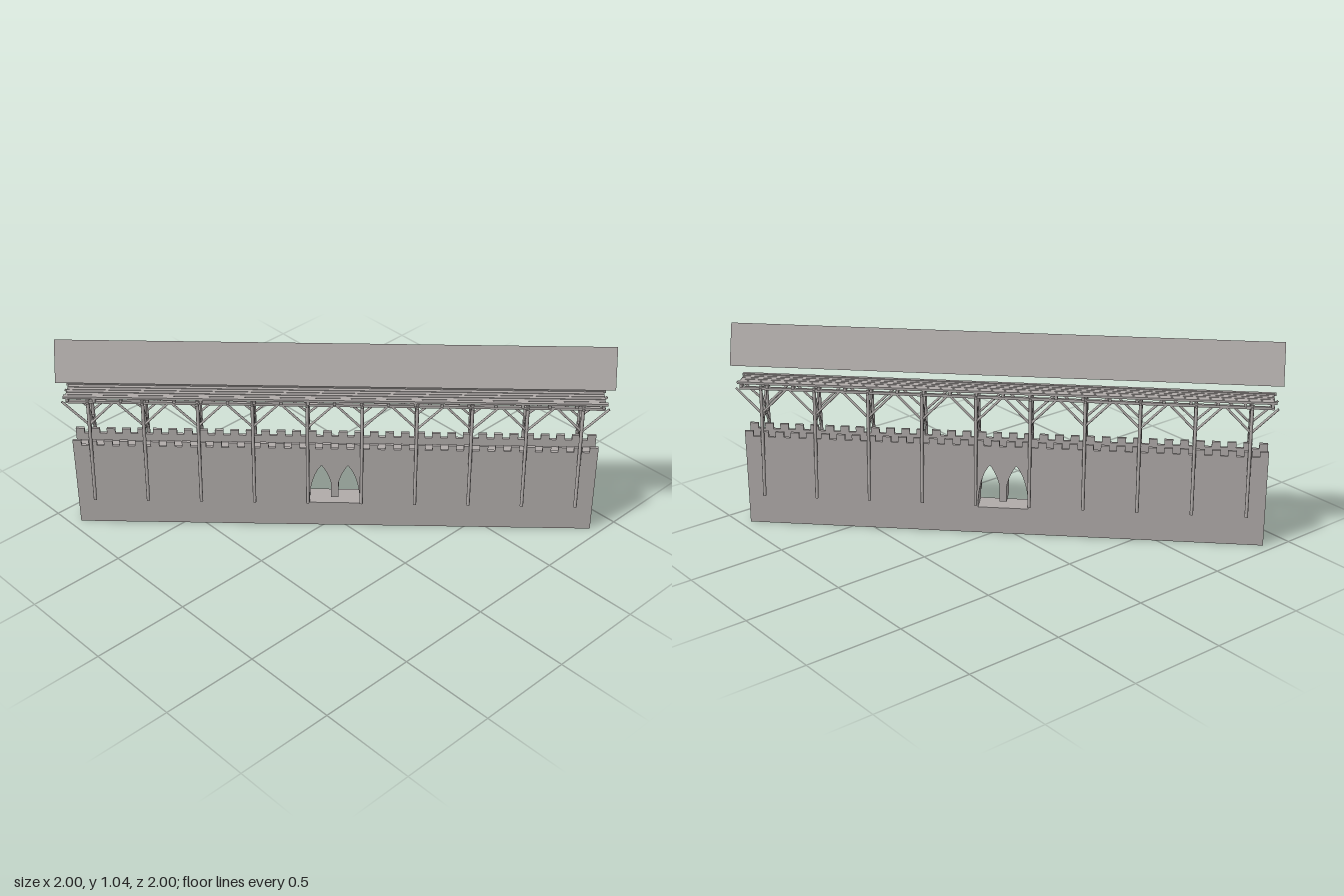
import * as THREE from 'three';

export function createModel() {
  const model = new THREE.Group();
  model.name = 'coveredWall';
  // Built along local x, then turned to lie on the diagonal
  const body = new THREE.Group();
  body.name = 'wallAndGallery';
  body.rotation.y = -Math.PI / 4;
  model.add(body);

  const grey = new THREE.MeshStandardMaterial({ color: 0xb0aba9 });
  grey.name = 'weatheredGrey';

  const add = (name, geometry, parent = body) => {
    const mesh = new THREE.Mesh(geometry, grey);
    mesh.name = name;
    parent.add(mesh);
    return mesh;
  };
  const box = (name, w, h, d, x, y, z, parent) =>
    add(name, new THREE.BoxGeometry(w, h, d), parent).position.set(x, y, z);
  const up = new THREE.Vector3(0, 1, 0);
  const pole = (name, a, b, r, parent, sides = 8) => {
    const p = new THREE.Vector3(...a), q = new THREE.Vector3(...b);
    const dir = q.clone().sub(p);
    const mesh = add(name, new THREE.CylinderGeometry(r, r, dir.length(), sides), parent);
    mesh.position.copy(p).add(q).multiplyScalar(0.5);
    mesh.quaternion.setFromUnitVectors(up, dir.normalize());
  };

  // Stone wall with a twin pointed opening
  const L = 1.287, T = 0.057, walk = 0.43;
  const wall = new THREE.Shape();
  wall.moveTo(-L, 0);
  wall.lineTo(L, 0);
  wall.lineTo(L, walk);
  wall.lineTo(-L, walk);
  const hole = new THREE.Path();
  hole.moveTo(-0.125, 0.14);
  hole.lineTo(-0.125, 0.175);
  hole.quadraticCurveTo(-0.115, 0.31, -0.065, 0.37);
  hole.quadraticCurveTo(-0.03, 0.32, -0.018, 0.26);
  hole.lineTo(-0.018, 0.175);
  hole.lineTo(0.018, 0.175);
  hole.lineTo(0.018, 0.26);
  hole.quadraticCurveTo(0.03, 0.32, 0.065, 0.37);
  hole.quadraticCurveTo(0.115, 0.31, 0.125, 0.175);
  hole.lineTo(0.125, 0.14);
  wall.holes.push(hole);
  const wallGeo = new THREE.ExtrudeGeometry(wall, { depth: 2 * T, bevelEnabled: false, curveSegments: 8 });
  wallGeo.translate(0, 0, -T);
  add('stoneWall', wallGeo);

  // Crenellated parapets along both faces
  const merlons = 34, step = (2 * L) / (merlons - 0.45);
  const parapet = new THREE.Shape();
  parapet.moveTo(-L, walk);
  for (let i = 0; i < merlons; i++) {
    const x = -L + i * step, e = x + step * 0.55;
    parapet.lineTo(x, 0.472);
    parapet.lineTo(x, 0.5);
    parapet.lineTo(e, 0.5);
    parapet.lineTo(e, 0.472);
  }
  parapet.lineTo(L, walk);
  for (const s of [-1, 1]) {
    const geo = new THREE.ExtrudeGeometry(parapet, { depth: 0.014, bevelEnabled: false });
    geo.translate(0, 0, s * 0.053 - 0.007);
    add(s > 0 ? 'frontParapet' : 'backParapet', geo);
  }

  // Timber trestles straddling the wall
  const legZ = (y) => 0.1 - (y - 0.17) * 0.085;
  for (let i = 0; i < 10; i++) {
    const x = (i - 4.5) * 0.2655;
    const trestle = new THREE.Group();
    trestle.name = 'trestle';
    body.add(trestle);
    for (const s of [-1, 1]) {
      pole('leg', [x, 0.17, s * legZ(0.17)], [x, 0.74, s * legZ(0.74)], 0.0085, trestle);
      pole('crossBrace', [x, 0.49, s * legZ(0.49)], [x, 0.71, -s * legZ(0.71)], 0.006, trestle);
      for (const d of [-1, 1]) {
        pole('strut', [x, 0.6, s * legZ(0.6)], [x + d * 0.125, 0.725, s * legZ(0.725)], 0.006, trestle);
      }
    }
    pole('tieBar', [x, 0.572, -0.068], [x, 0.572, 0.068], 0.006, trestle);
    pole('topBar', [x, 0.725, -0.068], [x, 0.725, 0.068], 0.007, trestle);
  }

  // Long beams, joists and gallery floor
  for (const s of [-1, 1]) {
    box('longBeam', 2.6, 0.014, 0.014, 0, 0.728, s * 0.053);
    box('floorRail', 2.62, 0.012, 0.018, 0, 0.757, s * 0.058);
  }
  for (let i = 0; i <= 20; i++) {
    box('joist', 0.014, 0.016, 0.14, (i - 10) * 0.129, 0.743, 0);
  }
  for (const z of [-0.034, -0.011, 0.011, 0.034]) {
    box('floorPlank', 2.6, 0.008, 0.018, 0, 0.757, z);
  }

  // Open-ended gable roof shell
  const R = 1.336, eave = 0.85, ridge = 1.045, half = 0.078;
  const section = new THREE.Shape();
  section.moveTo(-half, eave);
  section.lineTo(-half + 0.006, eave);
  section.lineTo(0, ridge - 0.015);
  section.lineTo(half - 0.006, eave);
  section.lineTo(half, eave);
  section.lineTo(0, ridge);
  const roofGeo = new THREE.ExtrudeGeometry(section, { depth: 2 * R, bevelEnabled: false });
  roofGeo.translate(0, 0, -R);
  roofGeo.rotateY(Math.PI / 2);
  add('roof', roofGeo);

  // Slim rafters under the roof
  for (let i = 0; i <= 20; i++) {
    const x = (i - 10) * 0.129;
    for (const s of [-1, 1]) {
      pole('rafter', [x, eave - 0.003, s * 0.07], [x, ridge - 0.025, 0], 0.004, body, 5);
    }
  }
  return model;
}
